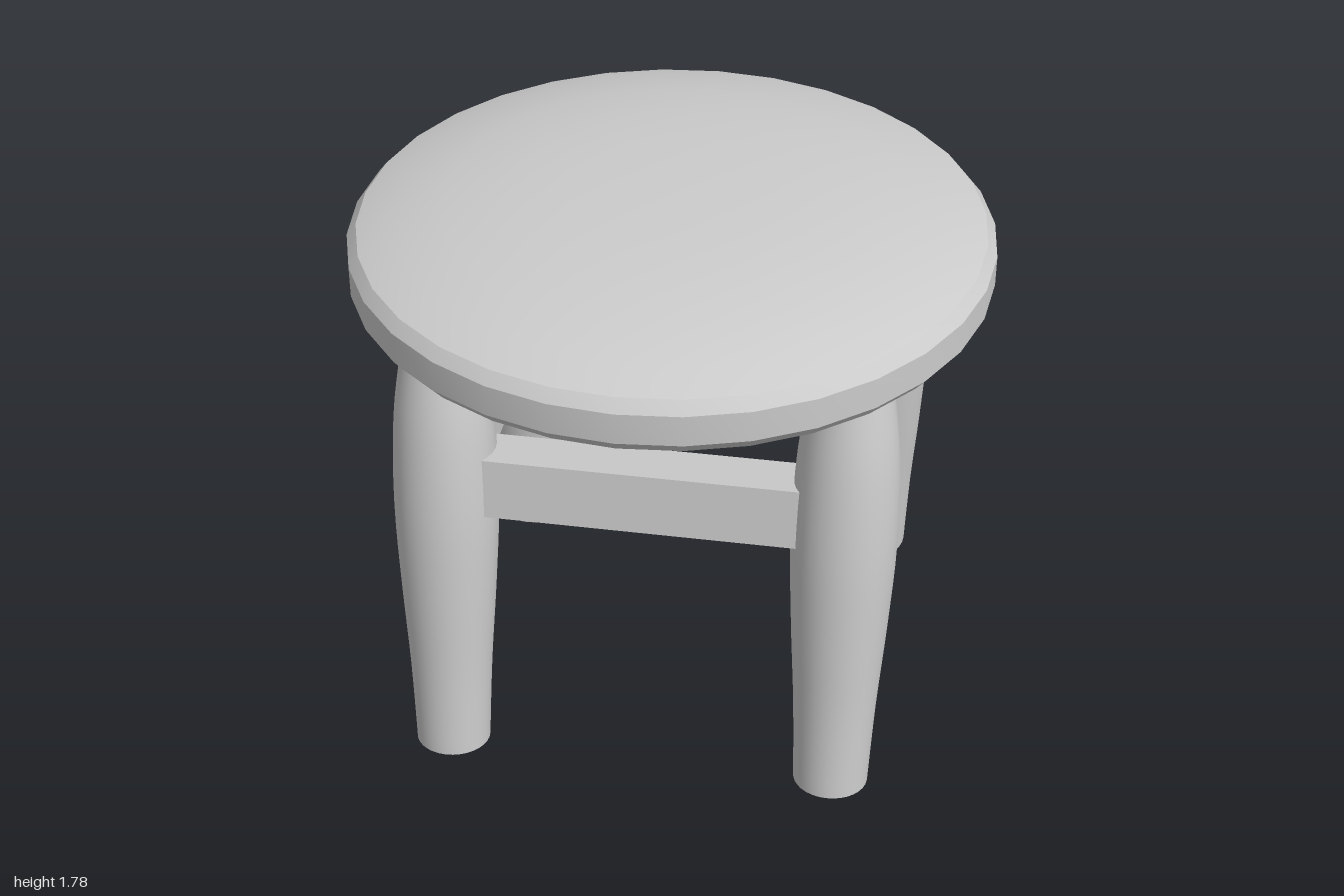
import * as THREE from 'three';
import { toCreasedNormals } from 'three/addons/utils/BufferGeometryUtils.js';

const material = new THREE.MeshStandardMaterial({ color: 0xcccccc });
const TILT = 0.1; // legs lean inward along z

function lathe(points, segments) {
  const profile = points.map(([r, y]) => new THREE.Vector2(r, y));
  return toCreasedNormals(new THREE.LatheGeometry(profile, segments), 0.45);
}

export function createModel() {
  const group = new THREE.Group();

  function add(name, geometry, x, y, z, rotX = 0) {
    const mesh = new THREE.Mesh(geometry, material);
    mesh.name = name;
    mesh.position.set(x, y, z);
    mesh.rotation.x = rotX;
    group.add(mesh);
  }

  // Domed round seat with a chamfered rim
  add('seat', lathe([
    [0, 1.372], [0.3, 1.375], [0.5, 1.387], [0.7, 1.413], [0.87, 1.45], [0.97, 1.487],
    [1, 1.525], [1, 1.625],
    [0.97, 1.663], [0.87, 1.7], [0.7, 1.737], [0.5, 1.763], [0.3, 1.775], [0, 1.778],
  ], 32), 0, 0, 0);

  // Bulging legs: radius follows a smooth curve along the height
  const curve = new THREE.SplineCurve([
    [0.119, 0], [0.131, 0.3], [0.15, 0.6], [0.163, 0.9], [0.154, 1.2], [0.126, 1.42], [0.112, 1.5],
  ].map(([r, y]) => new THREE.Vector2(r, y)));
  const side = curve.getPoints(24).map((p) => [p.x, p.y]);
  const legGeometry = lathe([[0, 0], ...side, [0, 1.5]], 32);

  // Rails between the legs
  const crossRail = new THREE.BoxGeometry(1.06, 0.2, 0.17);
  const sideRail = new THREE.BoxGeometry(0.17, 0.195, 0.92);

  for (const [end, s, z] of [['front', 1, 0.63], ['back', -1, -0.645]]) {
    add(end + 'LegLeft', legGeometry, 0.62, 0.012, z, -s * TILT);
    add(end + 'LegRight', legGeometry, -0.62, 0.012, z, -s * TILT);
    add(end + 'Rail', crossRail, 0, 1.01, z - s * 0.1, -s * TILT);
  }
  add('sideRailLeft', sideRail, 0.62, 0.993, -0.008);
  add('sideRailRight', sideRail, -0.62, 0.993, -0.008);

  return group;
}
